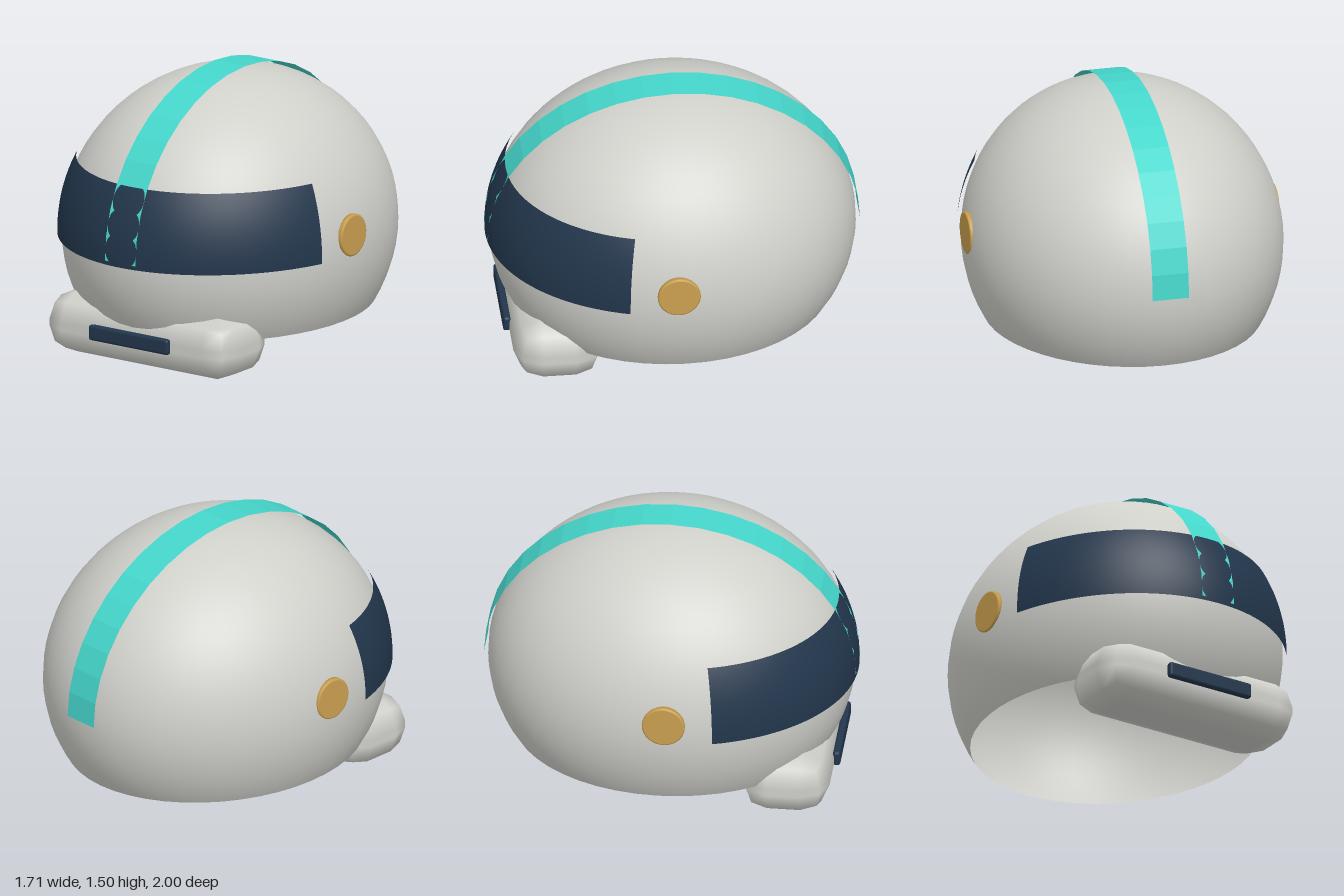
import * as THREE from 'three';
import { RoundedBoxGeometry } from 'three/addons/geometries/RoundedBoxGeometry.js';

const CENTRE_Y = 0.62;

const paint = (name, color, extra = {}) => {
  const m = new THREE.MeshStandardMaterial({ color, ...extra });
  m.name = name;
  return m;
};

export function createModel() {
  const model = new THREE.Group();
  model.name = 'helmet';

  const shellGrey = paint('shell grey', 0xd0d0cb, { side: THREE.DoubleSide });
  const visorNavy = paint('visor navy', 0x22364c);
  const stripeTeal = paint('stripe teal', 0x45d6cb, { side: THREE.DoubleSide, flatShading: true });
  const discGold = paint('disc gold', 0xcaa050);

  const add = (name, geometry, material, x = 0, y = 0, z = 0) => {
    const mesh = new THREE.Mesh(geometry, material);
    mesh.name = name;
    mesh.position.set(x, y, z);
    model.add(mesh);
    return mesh;
  };

  // Open-bottomed egg-shaped shell
  const shell = new THREE.SphereGeometry(1, 48, 24, 0, Math.PI * 2, 0, Math.PI * 2 / 3);
  shell.scale(0.85, 0.86, 0.98);
  add('shell', shell, shellGrey, 0, CENTRE_Y, 0);

  // Visor: a wrapped band just outside the shell
  const top = Math.PI * 0.35, bottom = Math.acos(-0.025);
  const visor = new THREE.SphereGeometry(1, 48, 16, Math.PI * 0.1, Math.PI * 0.8, top, bottom - top);
  visor.scale(0.872, 0.88, 1);
  add('visor', visor, visorNavy, 0, CENTRE_Y, 0);

  // Faceted stripe arching from front to back
  const stripe = new THREE.CylinderGeometry(1, 1, 0.2, 20, 1, true, 0, Math.PI);
  stripe.rotateZ(Math.PI / 2);
  stripe.scale(1, 0.878, 0.996);
  add('stripe', stripe, stripeTeal, 0, CENTRE_Y, 0);

  // Side discs with a softened rim
  const rim = [[0, -0.025], [0.115, -0.025], [0.115, 0.018], [0.112, 0.023], [0.106, 0.025], [0.106, 0.025], [0, 0.025]]
    .map(([r, h]) => new THREE.Vector2(r, h));
  for (const side of [1, -1]) {
    const disc = new THREE.LatheGeometry(rim, 32);
    disc.rotateZ(-side * Math.PI / 2);
    add(side > 0 ? 'leftDisc' : 'rightDisc', disc, discGold, side * 0.828, 0.7, 0.05);
  }

  // Chin guard with chunky rounded edges, and its vent
  add('chinGuard', new RoundedBoxGeometry(1.22, 0.34, 0.475, 1, 0.15), shellGrey, 0, 0.17, 0.66);
  add('chinVent', new RoundedBoxGeometry(0.52, 0.085, 0.04, 2, 0.015), visorNavy, 0, 0.179, 0.91);

  return model;
}
